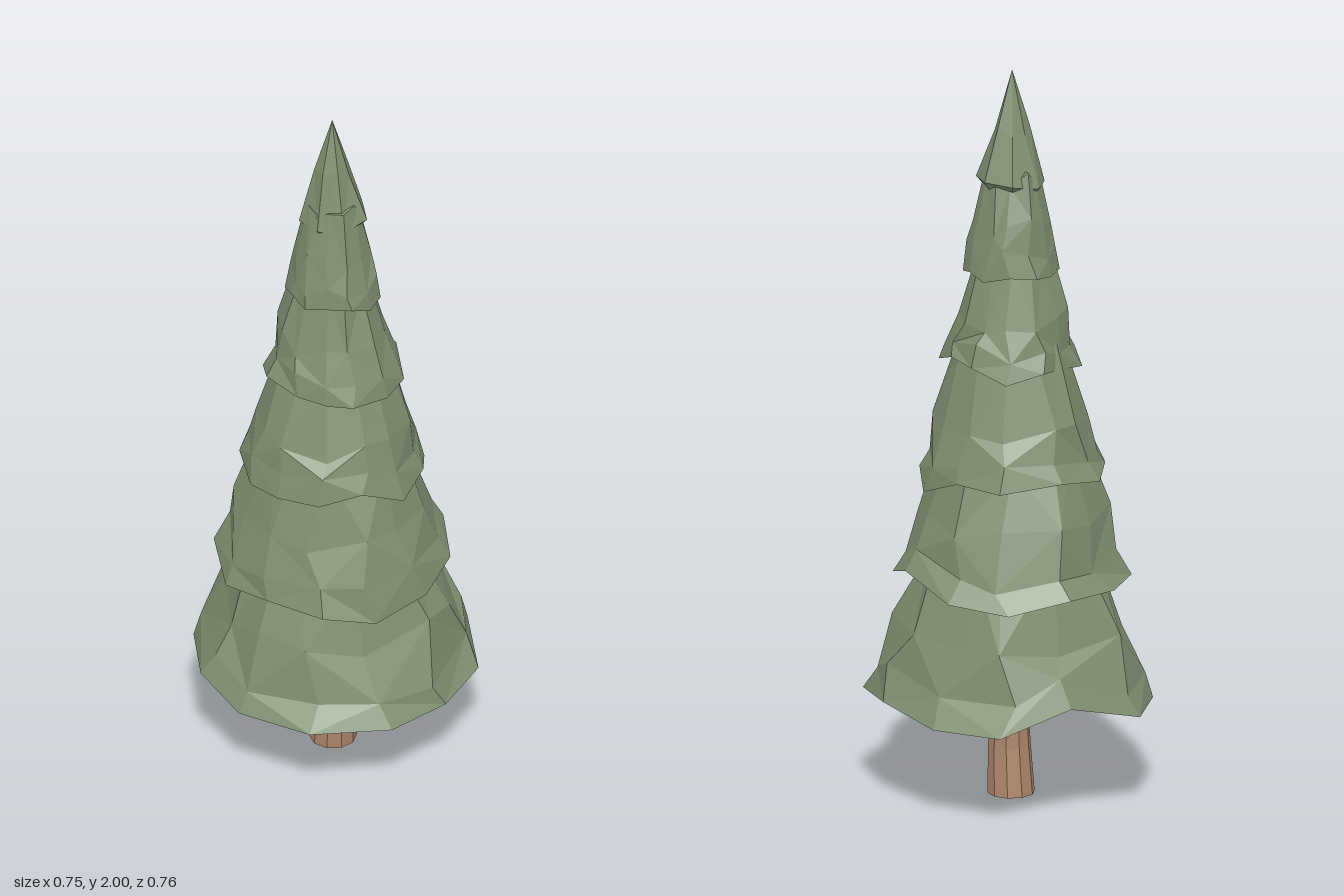
import * as THREE from 'three';

const SIDES = 12;
const bark = new THREE.MeshStandardMaterial({ color: 0xac856a, flatShading: true });
const needles = new THREE.MeshStandardMaterial({ color: 0x7f8f71, flatShading: true });

// Small seeded generator, returns -1..1
function seeded(seed) {
  return () => {
    seed = (seed * 16807) % 2147483647;
    return (seed / 2147483647) * 2 - 1;
  };
}

// Ring points run from the front (+z) towards +x; turn shifts each one in degrees
const ring = (n, radius, height, z = 0, turn = () => 0) =>
  Array.from({ length: n }, (_, i) => {
    const a = THREE.MathUtils.degToRad((i / n) * 360 + turn(i));
    const r = radius(i);
    return new THREE.Vector3(Math.sin(a) * r, height(i), Math.cos(a) * r + z);
  });

// Skin a stack of rings from bottom to top; optional bottom point closes the floor
function skin(rings, bottom, top) {
  const pts = [];
  const n = rings[0].length;
  for (let i = 0; i < n; i++) {
    const j = (i + 1) % n;
    if (bottom) pts.push(bottom, rings[0][j], rings[0][i]);
    for (let k = 0; k + 1 < rings.length; k++) {
      const a = rings[k], b = rings[k + 1];
      if ((i + k) % 2) pts.push(a[i], a[j], b[j], a[i], b[j], b[i]);
      else pts.push(a[i], a[j], b[i], a[j], b[j], b[i]);
    }
    const last = rings[rings.length - 1];
    pts.push(last[i], last[j], top);
  }
  const g = new THREE.BufferGeometry().setFromPoints(pts);
  g.computeVertexNormals();
  return g;
}

// Rim radius around each tier, mean rim height with its left, right, front and
// back offsets, then height and radius of the middle and top rings
const TIERS = [
  {
    r: [0.38, 0.375, 0.39, 0.375, 0.387, 0.418, 0.38, 0.41, 0.378, 0.38, 0.375, 0.386],
    y: 0.275, sides: [0.025, 0.035, -0.005, 0.06], mid: [0.47, 0.302], top: [0.68, 0.22],
  },
  {
    r: [0.305, 0.30, 0.31, 0.305, 0.33, 0.33, 0.34, 0.32, 0.32, 0.31, 0.29, 0.305],
    y: 0.605, sides: [0.045, -0.025, -0.035, 0.015], mid: [0.77, 0.25], top: [0.98, 0.18],
  },
  {
    r: [0.23, 0.245, 0.24, 0.25, 0.24, 0.27, 0.265, 0.27, 0.25, 0.24, 0.23, 0.235],
    y: 0.9, sides: [-0.04, -0.01, 0.04, 0.02], mid: [1.05, 0.2], top: [1.26, 0.133],
  },
  {
    r: [0.18, 0.18, 0.19, 0.18, 0.185, 0.205, 0.20, 0.16, 0.19, 0.185, 0.165, 0.165],
    y: 1.2, sides: [0.03, 0.01, -0.01, 0.01], mid: [1.33, 0.142], top: [1.51, 0.096],
  },
  {
    r: [0.13, 0.12, 0.125, 0.122, 0.135, 0.14, 0.145, 0.13, 0.13, 0.12, 0.12, 0.11],
    y: 1.455, sides: [0, 0.015, 0.015, 0], mid: [1.59, 0.104], top: [1.72, 0.074],
  },
];

function tierGeometry({ r, y, sides, mid, top }, index) {
  const rnd = seeded(97 + index * 531);
  const lowest = index === 0;
  const twist = () => rnd() * 7;
  const [left, right, front, back] = sides;
  const offsets = [front, left, back, right];
  // Offsets apply at the four sides, the points between them waver a little
  const heights = r.map((_, i) => y + (i % 3 ? rnd() * (lowest ? 0.005 : 0.02) : offsets[i / 3]));
  const wobble = ([h, rad]) => ring(SIDES,
    (i) => rad * (1 + rnd() * 0.05) * (0.6 + 0.4 * r[i] / r[0]),
    () => h + rnd() * 0.03, -0.008, twist);
  const rim = ring(SIDES, (i) => r[i], (i) => heights[i], 0, () => rnd() * 4);
  // Uneven ring of bough tips just above the rim
  const tips = ring(SIDES,
    (i) => THREE.MathUtils.lerp(r[i], mid[1], 0.48 + rnd() * 0.25),
    (i) => THREE.MathUtils.lerp(heights[i], mid[0], 0.42 + rnd() * 0.15), 0, twist);
  const rings = [rim, tips, wobble(mid), wobble(top)];
  // Upper tiers tuck their underside into the tier below
  if (!lowest) rings.unshift(ring(SIDES, (i) => r[i] * 0.68, (i) => heights[i] + 0.025));
  const floor = lowest ? new THREE.Vector3(0, 0.285, 0) : null;
  return skin(rings, floor, new THREE.Vector3(0, top[0] + 0.02, -0.01));
}

export function createModel() {
  const tree = new THREE.Group();
  tree.name = 'pineTree';

  // Slightly bent, tapering trunk
  const trunkRings = [[0, 0.063, -0.004], [0.13, 0.057, 0.006], [0.34, 0.044, 0.004]]
    .map(([y, r, z]) => ring(10, () => r, () => y, z));
  const trunk = new THREE.Mesh(
    skin(trunkRings, new THREE.Vector3(0, 0, -0.004), new THREE.Vector3(0, 0.34, 0.004)), bark);
  trunk.name = 'trunk';
  tree.add(trunk);

  // Overlapping skirts of boughs
  const foliage = new THREE.Group();
  foliage.name = 'foliage';
  TIERS.forEach((tier, i) => {
    const mesh = new THREE.Mesh(tierGeometry(tier, i), needles);
    mesh.name = `boughTier${i + 1}`;
    foliage.add(mesh);
  });

  // Pointed crown, flowing out of the uppermost tier
  const rnd = seeded(41);
  const crown = new THREE.Mesh(skin([
    ring(7, () => 0.06, () => 1.66, -0.005),
    ring(7, () => 0.087 + rnd() * 0.008, () => 1.69 + rnd() * 0.015, -0.005),
    ring(7, () => 0.046 + rnd() * 0.005, () => 1.84 + rnd() * 0.02, -0.01),
  ], null, new THREE.Vector3(0, 2, -0.01)), needles);
  crown.name = 'crown';
  foliage.add(crown);
  tree.add(foliage);

  return tree;
}
